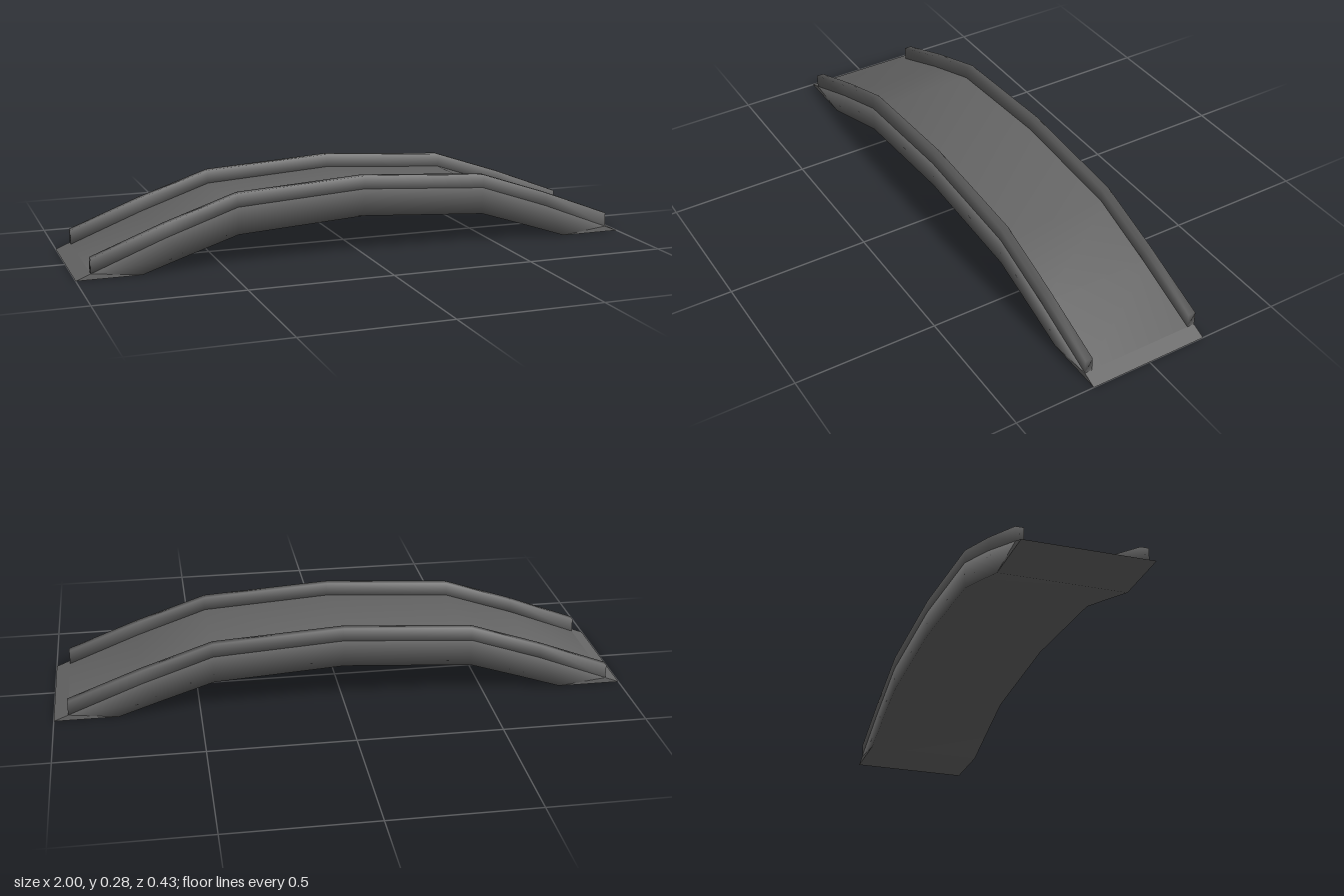
import * as THREE from 'three';

// Half profiles from the left end to the crown: [topX, topY, bottomX, bottomY]
const DECK = [[0.95, 0.02, 0.78, 0], [0.7, 0.118, 0.63, 0.05], [0.45, 0.203, 0.45, 0.108], [0, 0.232, 0, 0.137]];
const RAIL = [[0.95, 0.07, 0.95, 0.02], [0.7, 0.166, 0.7, 0.118], [0.45, 0.25, 0.45, 0.203], [0, 0.278, 0, 0.232]];
const HALF_WIDTH = 0.215;
const RAIL_WIDTH = 0.027;

// Sweeps a four-cornered section along the mirrored profile, with soft shared normals
function archStrip(half, z0, z1, capped) {
  const mirrored = half.slice(0, -1).map(([a, b, c, d]) => [-a, b, -c, d]);
  const sections = [...mirrored, ...half.slice().reverse()];
  const pos = [];
  const index = [];
  for (const [tx, ty, bx, by] of sections) {
    pos.push(tx, ty, z0, tx, ty, z1, bx, by, z1, bx, by, z0);
  }
  for (let i = 0; i < sections.length - 1; i++) {
    for (let j = 0; j < 4; j++) {
      const a = i * 4 + j;
      const b = i * 4 + ((j + 1) % 4);
      index.push(a, b, b + 4, a, b + 4, a + 4);
    }
  }
  if (capped) {
    const e = (sections.length - 1) * 4;
    index.push(0, 2, 1, 0, 3, 2, e, e + 1, e + 2, e, e + 2, e + 3);
  }
  const geo = new THREE.BufferGeometry();
  geo.setAttribute('position', new THREE.Float32BufferAttribute(pos, 3));
  geo.setIndex(index);
  geo.computeVertexNormals();
  return geo;
}

export function createModel() {
  const group = new THREE.Group();
  group.name = 'archedBridge';
  const stone = new THREE.MeshStandardMaterial({ color: 0x666666 });
  stone.name = 'dark grey stone';

  const add = (name, geo) => {
    const mesh = new THREE.Mesh(geo, stone);
    mesh.name = name;
    group.add(mesh);
    return mesh;
  };

  // Walking deck
  add('deck', archStrip(DECK, -HALF_WIDTH, HALF_WIDTH, false));

  // Raised kerb along each edge
  add('frontRail', archStrip(RAIL, HALF_WIDTH - RAIL_WIDTH, HALF_WIDTH, true));
  add('backRail', archStrip(RAIL, -HALF_WIDTH, RAIL_WIDTH - HALF_WIDTH, true));

  // Flat wedge where each end meets the ground
  for (const s of [-1, 1]) {
    const shape = new THREE.Shape([
      new THREE.Vector2(s, 0),
      new THREE.Vector2(s * 0.95, 0.02),
      new THREE.Vector2(s * 0.78, 0),
    ]);
    const wedge = new THREE.ExtrudeGeometry(shape, { depth: HALF_WIDTH * 2, bevelEnabled: false });
    wedge.translate(0, 0, -HALF_WIDTH);
    add(s > 0 ? 'leftRamp' : 'rightRamp', wedge);
  }
  return group;
}
